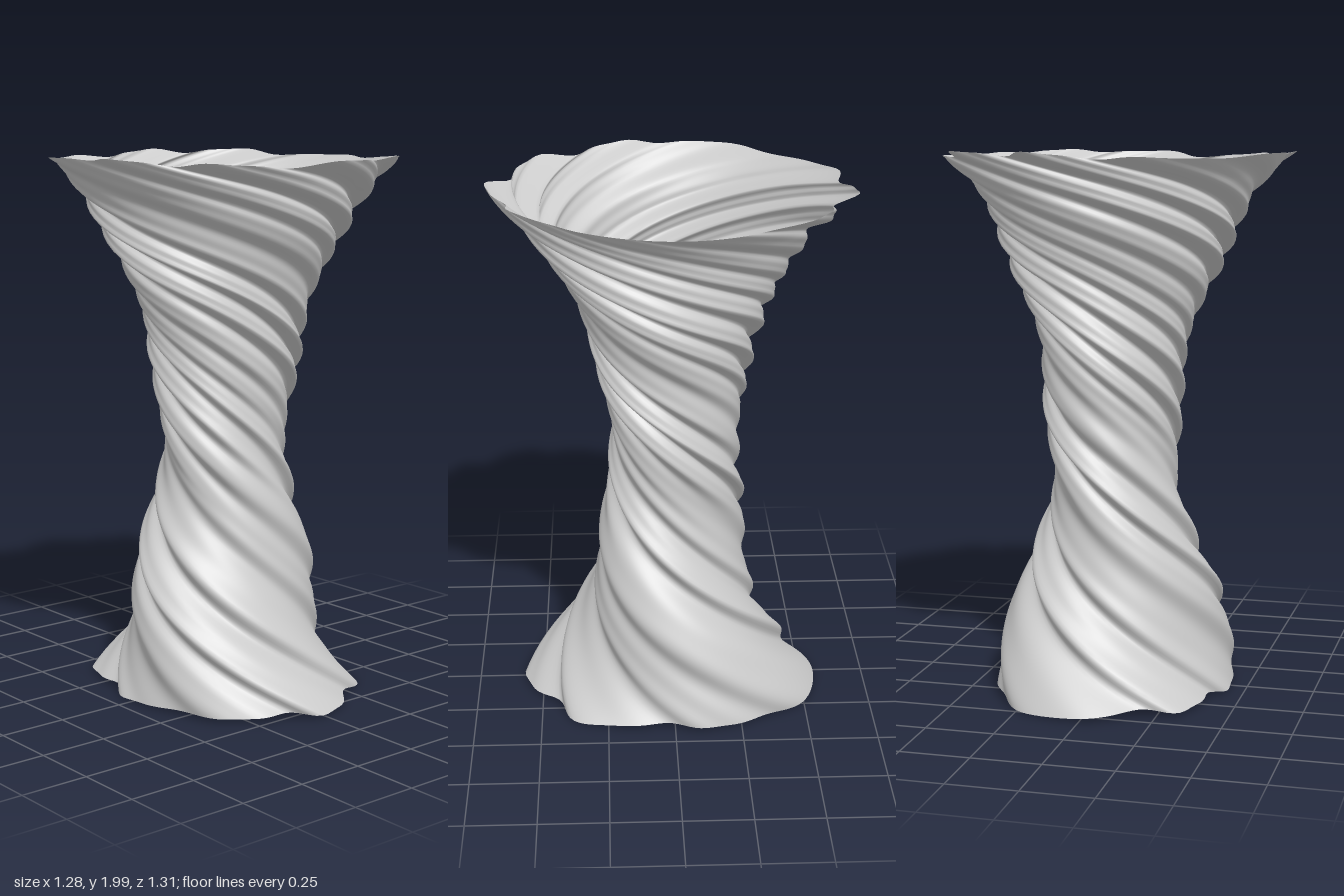
import * as THREE from 'three';

const SEGMENTS = 132, ROWS = 100;

// Average radius against height, flared at both ends
const profile = new THREE.SplineCurve([
  [0.49, 0.022], [0.4, 0.2], [0.333, 0.4], [0.275, 0.6], [0.238, 0.8], [0.234, 1.0],
  [0.252, 1.2], [0.29, 1.4], [0.368, 1.6], [0.47, 1.8], [0.545, 1.9], [0.635, 1.982],
].map(([r, y]) => new THREE.Vector2(r, y)));

// Accumulated twist: gentle at the foot, tighter towards the mouth
const twist = (y) => 3.3 * y + 0.8 * y * y;

// Smooth bump along the height
const bump = (y, centre, width) => Math.exp(-(((y - centre) / width) ** 2));

// One band of uneven rounded folds, about -1 to 1
function folds(count, a, shift) {
  const p = count * a + 0.9 * Math.sin(a + shift) + 0.6 * Math.sin(3 * a);
  const size = 0.7 + 0.35 * Math.sin(2 * a + shift);
  return size * (Math.sin(p + 0.4 * Math.sin(p)) + 0.2 * Math.sin(2 * p + 1));
}

function twistedShell() {
  const positions = [], indices = [];
  const point = new THREE.Vector2();
  for (let i = 0; i <= ROWS; i++) {
    profile.getPoint(i / ROWS, point);
    const y = point.y;
    const foot = Math.max(0, 1 - y / 0.35) ** 2;
    const rim = Math.max(0, (y - 1.85) / 0.13) ** 2;
    const upper = THREE.MathUtils.smoothstep(y, 0.6, 1.3);
    const depth = 0.021 + 0.01 * Math.max(0, y - 1.2) + 0.006 * Math.max(0, 1 - y / 0.6);
    // The waist stands slightly off centre
    const leanX = 0.014 * bump(y, 1.2, 0.45);
    const leanZ = -0.013 * bump(y, 1.1, 0.35);
    // Oval section: winds up from the foot, then wider sideways below the mouth
    const footOval = 0.065 * Math.exp(-y / 0.5);
    const neckOval = -0.016 * bump(y, 1.5, 0.2);
    for (let j = 0; j < SEGMENTS; j++) {
      // Columns of the mesh run along the folds
      const a = (j / SEGMENTS) * Math.PI * 2;
      const angle = a - twist(y);
      // Broad folds at the foot give way to finer ones above
      const f = (1 - upper) * folds(7, a, 0.5) + upper * folds(10, a, 2);
      const r = point.x + depth * f + footOval * Math.cos(2 * a) + neckOval * Math.cos(2 * angle);
      // Ragged edges at the two openings
      const wave = (rim * 0.014 - foot * 0.014) * (0.6 * f + 0.6 * Math.sin(3 * angle));
      positions.push(r * Math.sin(angle) + leanX, y + wave, r * Math.cos(angle) + leanZ);
      if (i < ROWS) {
        const k = (j + 1) % SEGMENTS;
        const p = i * SEGMENTS + j, q = i * SEGMENTS + k;
        indices.push(p, q, q + SEGMENTS, p, q + SEGMENTS, p + SEGMENTS);
      }
    }
  }
  const geometry = new THREE.BufferGeometry();
  geometry.setAttribute('position', new THREE.Float32BufferAttribute(positions, 3));
  geometry.setIndex(indices);
  geometry.computeVertexNormals();
  return geometry;
}

export function createModel() {
  const group = new THREE.Group();
  group.name = 'twistedVase';
  const material = new THREE.MeshStandardMaterial({ color: 0xcccccc, side: THREE.DoubleSide });
  const shell = new THREE.Mesh(twistedShell(), material);
  shell.name = 'twistedShell';
  group.add(shell);
  return group;
}
